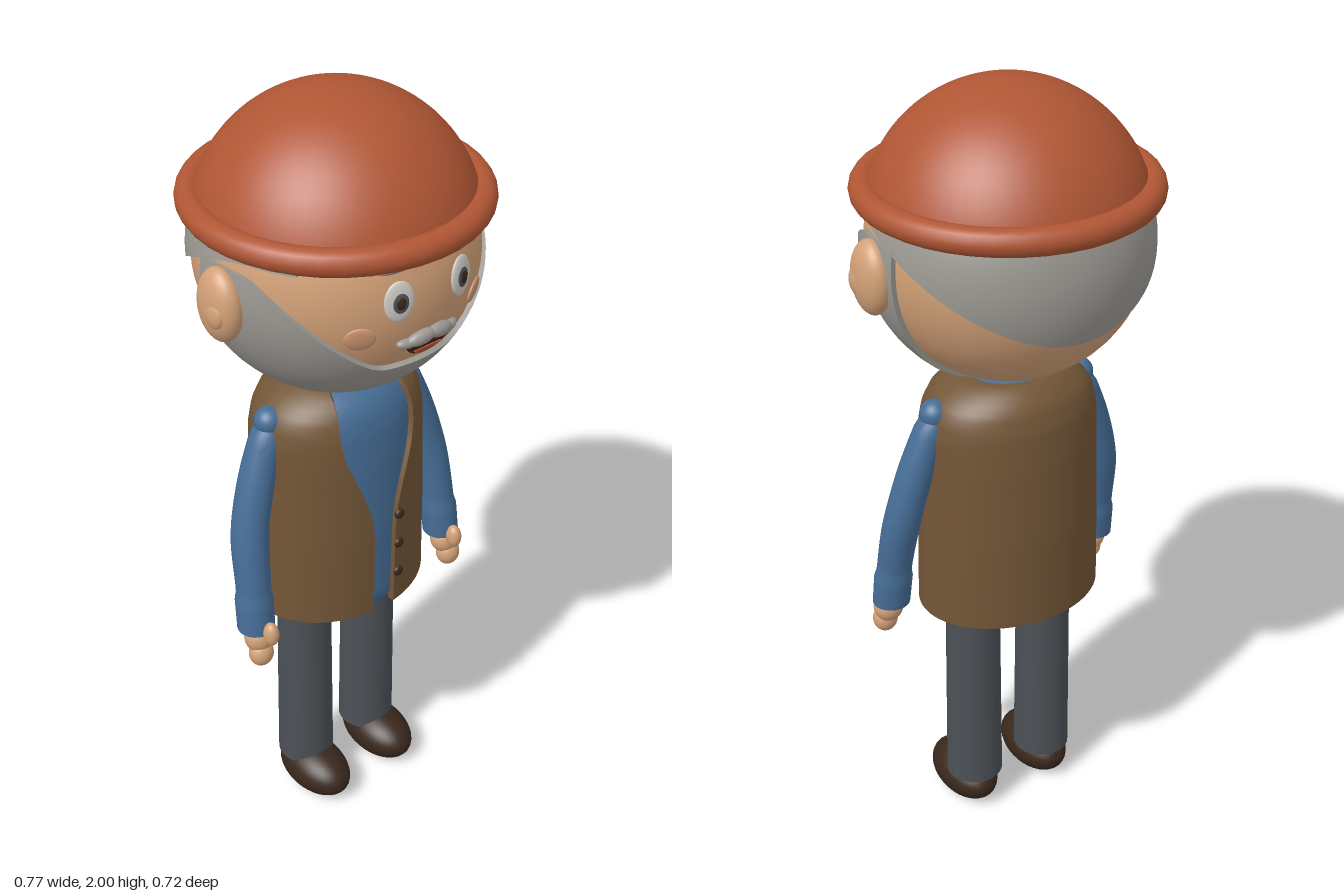
import * as THREE from 'three';
import { mergeVertices, toCreasedNormals } from 'three/addons/utils/BufferGeometryUtils.js';

const HEAD_Y = 1.625, HEAD_R = 0.33;

function mat(name, color, side = THREE.FrontSide) {
  const m = new THREE.MeshStandardMaterial({ color, side });
  m.name = name;
  return m;
}

// Linear interpolation through [x, y] pairs.
function ramp(pts, x) {
  if (x <= pts[0][0]) return pts[0][1];
  for (let i = 1; i < pts.length; i++) {
    const [x0, y0] = pts[i - 1], [x1, y1] = pts[i];
    if (x <= x1) return y0 + ((y1 - y0) * (x - x0)) / (x1 - x0);
  }
  return pts[pts.length - 1][1];
}

// Grid surface; the outermost rows and columns repeat u, v and are flagged so they can be tucked in as rims.
function grid(nu, nv, f, crease = 0.8) {
  const pos = [], index = [];
  const clamp = (k, n) => Math.min(1, Math.max(0, (k - 1) / (n - 2)));
  for (let i = 0; i <= nu; i++)
    for (let j = 0; j <= nv; j++)
      pos.push(...f(clamp(i, nu), clamp(j, nv), i === 0 || i === nu, j === 0 || j === nv));
  for (let i = 0; i < nu; i++)
    for (let j = 0; j < nv; j++) {
      const a = i * (nv + 1) + j, c = a + nv + 1;
      index.push(a, a + 1, c, c, a + 1, c + 1);
    }
  const g = new THREE.BufferGeometry();
  g.setAttribute('position', new THREE.Float32BufferAttribute(pos, 3));
  g.setIndex(index);
  return toCreasedNormals(mergeVertices(g, 1e-5), crease);
}

// Shell hugging the head between two azimuths (0 = front) and two heights.
function headShell(radius, az0, az1, top, bottom) {
  return grid(66, 22, (u, v, eu, ev) => {
    const az = az0 + (az1 - az0) * u;
    const t0 = Math.acos((top(az) - HEAD_Y) / radius);
    const t1 = Math.acos(Math.max(-1, (bottom(az) - HEAD_Y) / radius));
    const t = t0 + (t1 - t0) * v, r = eu || ev ? HEAD_R - 0.01 : radius;
    return [r * Math.sin(t) * Math.sin(az), HEAD_Y + r * Math.cos(t), r * Math.sin(t) * Math.cos(az)];
  });
}

export function createModel() {
  const model = new THREE.Group();
  model.name = 'figure';
  const hat = mat('hat rust', 0xb05634), skin = mat('skin', 0xd3a178);
  const hair = mat('hair grey', 0x9c9993, THREE.DoubleSide), vestMat = mat('vest brown', 0x735637, THREE.DoubleSide);
  const blue = mat('shirt blue', 0x466d96), grey = mat('trouser grey', 0x4c5156);
  const dark = mat('shoe brown', 0x39271c), white = mat('eye white', 0xcfccc4);
  const mouthMat = mat('mouth dark', 0x4a2015), cheekMat = mat('cheek', 0xce9872);

  const add = (name, geo, material, x = 0, y = 0, z = 0, parent = model) => {
    const m = new THREE.Mesh(geo, material);
    m.name = name;
    m.position.set(x, y, z);
    parent.add(m);
    return m;
  };
  const ball = new THREE.SphereGeometry(1, 32, 20);
  const blob = (name, material, [x, y, z], [a, b, c], parent) => {
    const m = add(name, ball, material, x, y, z, parent);
    m.scale.set(a, b, c);
    return m;
  };
  // Places a mesh on the face at x, y, looking outwards.
  const onFace = (m, x, y, lift = 0, roll = 0) => {
    const dir = new THREE.Vector3(x, y - HEAD_Y, Math.sqrt(HEAD_R ** 2 - x * x - (y - HEAD_Y) ** 2)).normalize();
    m.position.copy(dir).multiplyScalar(HEAD_R + lift).add(new THREE.Vector3(0, HEAD_Y, 0));
    m.lookAt(m.position.clone().add(dir));
    m.rotateZ(roll);
    return m;
  };
  const faceBlob = (name, material, x, y, size, lift, roll) =>
    onFace(blob(name, material, [0, 0, 0], size), x, y, lift, roll);

  // Head
  add('head', new THREE.SphereGeometry(HEAD_R, 48, 32), skin, 0, HEAD_Y, 0);

  // Beard: low under the mouth, rising to the ears
  const deg = Math.PI / 180;
  const beardTop = [[18, 1.458], [24, 1.468], [32, 1.5], [42, 1.548], [52, 1.598], [62, 1.643], [70, 1.674], [76, 1.688]];
  add('beard', headShell(0.342, -100 * deg, 100 * deg,
    (az) => ramp(beardTop, Math.abs(az) / deg), () => HEAD_Y - 0.342), hair);

  // Hair: wraps the back of the head, dipping at the nape
  add('hair', headShell(0.341, 54 * deg, 306 * deg, () => 1.765, (az) => {
    const t = Math.max(0, (0.1 - 0.32 * Math.cos(az)) / 0.42);
    return 1.715 - 0.228 * Math.min(1, t) ** 1.8;
  }), hair);

  // Hat
  add('hatDome', new THREE.SphereGeometry(0.336, 48, 20, 0, Math.PI * 2, 0, 1.31), hat, 0, 1.664, 0);
  const brim = add('hatBrim', new THREE.TorusGeometry(0.328, 0.032, 16, 40), hat, 0, 1.756, 0);
  brim.rotation.x = Math.PI / 2;

  // Mouth and tongue
  const halfMoon = (w, h) => {
    const s = new THREE.Shape();
    s.moveTo(-w, 0);
    s.quadraticCurveTo(-w * 0.7, -h, 0, -h);
    s.quadraticCurveTo(w * 0.7, -h, w, 0);
    s.closePath();
    return new THREE.ExtrudeGeometry(s, { depth: 0.006, bevelEnabled: false, curveSegments: 10 });
  };
  onFace(add('mouth', halfMoon(0.07, 0.045), mouthMat), 0, 1.53, 0);
  onFace(add('tongue', halfMoon(0.04, 0.016), hat), 0, 1.504, 0.004);

  for (const s of [-1, 1]) {
    const side = s > 0 ? 'left' : 'right';

    // Face details
    faceBlob(side + 'Eye', white, s * 0.088, 1.647, [0.036, 0.048, 0.009], 0);
    faceBlob(side + 'Iris', grey, s * 0.087, 1.645, [0.019, 0.024, 0.004], 0.007);
    faceBlob(side + 'Pupil', dark, s * 0.087, 1.645, [0.012, 0.015, 0.004], 0.009);
    faceBlob(side + 'Brow', hair, s * 0.085, 1.722, [0.045, 0.011, 0.012], 0.002, -s * 0.12);
    faceBlob(side + 'Cheek', cheekMat, s * 0.165, 1.565, [0.036, 0.03, 0.007], 0.001);
    faceBlob(side + 'Moustache', hair, s * 0.026, 1.539, [0.038, 0.018, 0.017], 0.006, -s * 0.15);
    faceBlob(side + 'MoustacheTip', hair, s * 0.06, 1.531, [0.026, 0.012, 0.013], 0.004, s * 0.1);

    // Ears
    blob(side + 'Ear', skin, [s * 0.342, 1.6, 0.022], [0.042, 0.09, 0.066]);
    blob(side + 'InnerEar', skin, [s * 0.37, 1.592, 0.036], [0.016, 0.036, 0.032]);

    // Sleeve: tapered sweep from shoulder to wrist
    const path = new THREE.CatmullRomCurve3([[0.2, 1.222, 0], [0.245, 1.1, 0.008], [0.285, 0.95, 0.022],
      [0.3, 0.8, 0.048], [0.306, 0.685, 0.062]].map(([x, y, z]) => new THREE.Vector3(s * x, y, z)));
    const radii = [[0, 0.03], [0.06, 0.041], [0.3, 0.046], [0.55, 0.047], [0.78, 0.043], [0.81, 0.048], [1, 0.047]];
    add(side + 'Sleeve', grid(26, 30, (u, v, eu, ev) => {
      const p = path.getPoint(v), a = u * Math.PI * 2, r = ev ? 0 : ramp(radii, v);
      return [p.x + r * Math.sin(a), p.y, p.z + r * Math.cos(a)];
    }), blue);
    blob(side + 'Shoulder', blue, [s * 0.203, 1.222, 0], [0.037, 0.036, 0.037]);

    // Hand
    const hand = new THREE.Group();
    hand.name = side + 'Hand';
    model.add(hand);
    blob('palm', skin, [s * 0.308, 0.66, 0.076], [0.038, 0.04, 0.036], hand);
    blob('fingers', skin, [s * 0.312, 0.618, 0.088], [0.032, 0.036, 0.03], hand);
    blob('thumb', skin, [s * 0.302, 0.692, 0.118], [0.019, 0.033, 0.022], hand);

    // Leg and shoe
    add(side + 'Leg', new THREE.CylinderGeometry(0.069, 0.074, 0.58, 32), grey, s * 0.106, 0.39, 0);
    const shoe = ball.clone().scale(0.075, 0.066, 0.12);
    const p = shoe.attributes.position;
    for (let i = 0; i < p.count; i++) if (p.getY(i) < -0.058) p.setY(i, -0.058);
    shoe.computeVertexNormals();
    add(side + 'Shoe', shoe, dark, s * 0.111, 0.063, 0.045);
  }

  // Vest: open shell whose gap widens into a neckline
  const width = [[0.665, 0.24], [0.9, 0.234], [1.05, 0.23], [1.17, 0.228], [1.22, 0.218], [1.25, 0.2], [1.275, 0.17], [1.297, 0.125]];
  const depth = [[0.665, 0.19], [0.9, 0.192], [1.1, 0.187], [1.2, 0.178], [1.25, 0.163], [1.28, 0.138], [1.297, 0.115]];
  const gap = [[0.665, 0.032], [0.9, 0.033], [0.96, 0.04], [1.02, 0.058], [1.08, 0.081], [1.13, 0.1],
    [1.17, 0.109], [1.22, 0.111], [1.26, 0.104], [1.297, 0.09]];
  add('vest', grid(66, 42, (u, v, eu, ev) => {
    const y = 1.297 - 0.632 * v, inset = eu || ev ? 0.018 : 0;
    const rx = ramp(width, y), rz = ramp(depth, y), a0 = Math.asin(ramp(gap, y) / rx);
    const a = a0 + (Math.PI * 2 - 2 * a0) * u;
    return [(rx - inset) * Math.sin(a), y, (rz - inset) * Math.cos(a)];
  }), vestMat);

  // Shirt body, closed at both ends
  add('shirt', grid(50, 32, (u, v, eu, ev) => {
    const y = 1.288 - 0.638 * v, a = u * Math.PI * 2, k = ev ? 0 : 1;
    const hem = y < 0.69 ? (0.69 - y) * 0.6 : 0;
    return [k * (ramp(width, y) - 0.012 - hem) * Math.sin(a), y, k * (ramp(depth, y) - 0.012 - hem) * Math.cos(a)];
  }), blue);

  // Buttons
  for (const y of [0.935, 0.845, 0.755]) blob('button', dark, [0.046, y, 0.188], [0.014, 0.014, 0.009]);

  return model;
}
